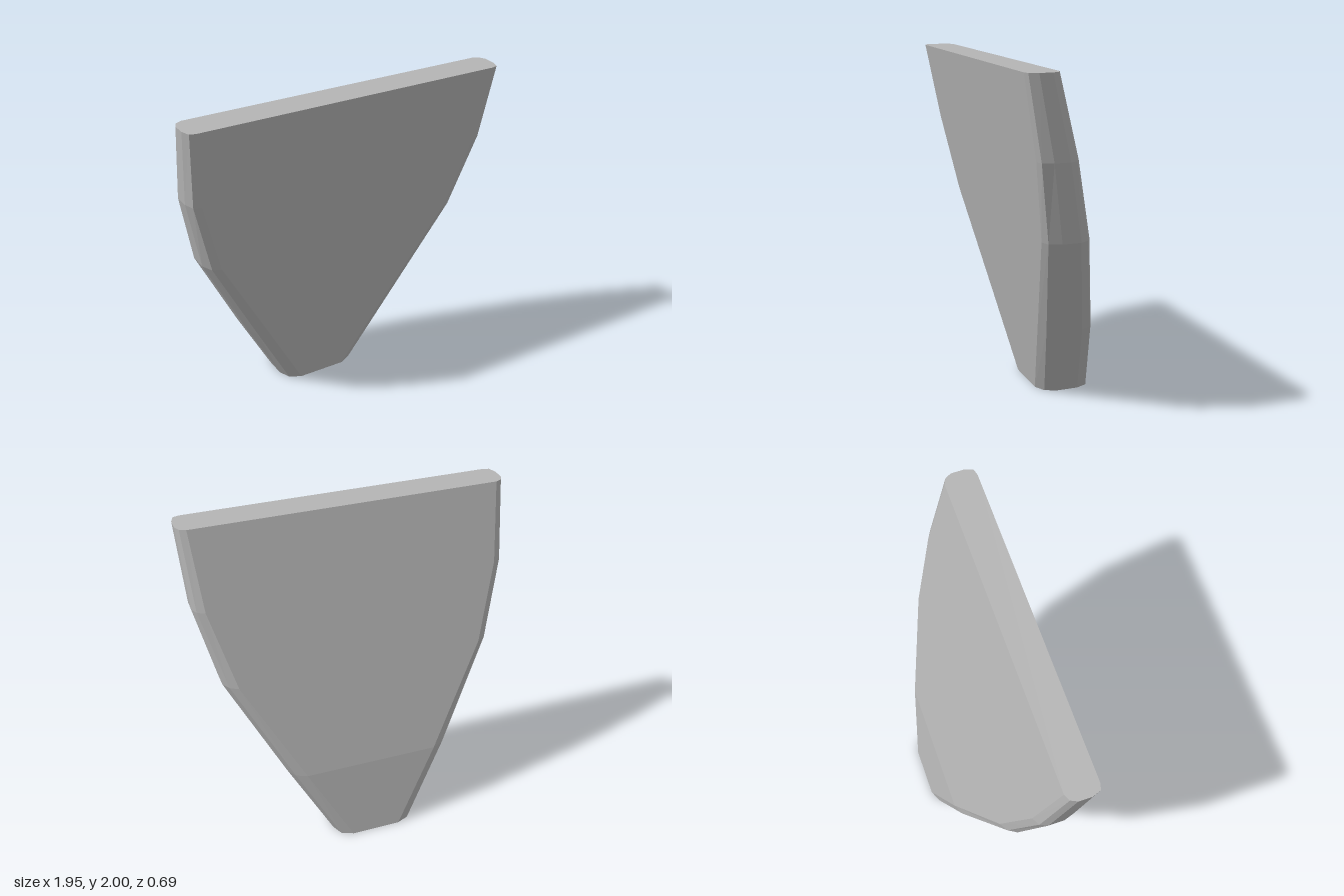
import * as THREE from 'three';

// Cross-sections: y, front z, back z, half widths of face / crease / side, front and back crease depth
const SECTIONS = [
  [0.00, -0.01, -0.345, 0.15, 0.22, 0.25, 0.035, 0.03],
  [0.47, 0.073, -0.26, 0.41, 0.475, 0.51, 0.03, 0.03],
  [1.08, 0.182, -0.094, 0.75, 0.80, 0.83, 0.02, 0.03],
  [1.54, 0.263, 0.03, 0.88, 0.925, 0.945, 0.013, 0.025],
  [2.00, 0.345, 0.155, 0.92, 0.957, 0.975, 0.01, 0.018],
];

// Twelve-sided slab outline with chamfered ends, counter-clockwise from above
function ring([y, front, back, face, crease, side, df, db]) {
  const depth = front - back;
  const half = [
    [face, front], [crease, front - df], [side, front - depth * 0.32],
    [side, back + depth * 0.29], [crease, back + db], [face, back],
  ];
  const mirrored = half.map(([x, z]) => [-x, z]).reverse();
  return [...half, ...mirrored].map(([x, z]) => new THREE.Vector3(x, y, z));
}

function loft(rings) {
  const points = [];
  const n = rings[0].length;
  // Side walls
  for (let l = 0; l < rings.length - 1; l++) {
    for (let i = 0; i < n; i++) {
      const j = (i + 1) % n;
      const a = rings[l][i], b = rings[l][j], c = rings[l + 1][j], d = rings[l + 1][i];
      points.push(a, b, c, a, c, d);
    }
  }
  // Flat end caps
  const bottom = rings[0], top = rings[rings.length - 1];
  for (let i = 1; i < n - 1; i++) {
    points.push(top[0], top[i], top[i + 1], bottom[0], bottom[i + 1], bottom[i]);
  }
  const geometry = new THREE.BufferGeometry().setFromPoints(points);
  geometry.computeVertexNormals(); // unshared corners give flat facets
  return geometry;
}

export function createModel() {
  const group = new THREE.Group();
  group.name = 'taperedPanel';
  const grey = new THREE.MeshStandardMaterial({ color: 0xb4b4b4 });
  grey.name = 'grey';
  const panel = new THREE.Mesh(loft(SECTIONS.map(ring)), grey);
  panel.name = 'panel';
  group.add(panel);
  return group;
}
